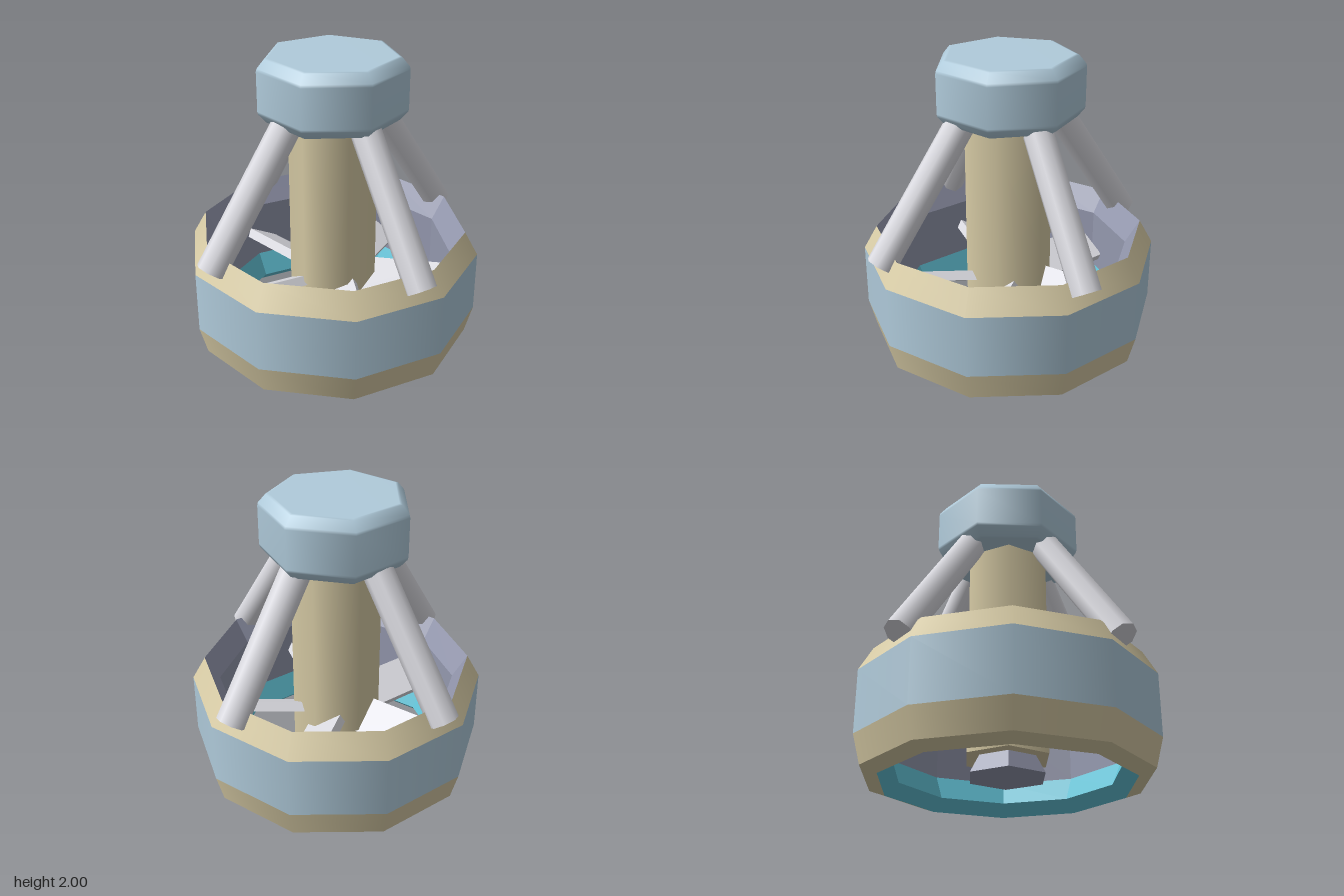
import * as THREE from 'three';

const material = (name, color) => {
  const m = new THREE.MeshStandardMaterial({ color });
  m.name = name;
  return m;
};

export function createModel() {
  const blue = material('pale blue', 0xb0cbdb);
  const tan = material('sand', 0xd8cca6);
  const grey = material('light grey', 0xdcdce2);
  const slate = material('slate', 0x9498ae);
  const teal = material('teal', 0x63c4d8);

  const model = new THREE.Group();
  model.name = 'thruster';

  const add = (name, geometry, mat, parent = model) => {
    const mesh = new THREE.Mesh(geometry, mat);
    mesh.name = name;
    parent.add(mesh);
    return mesh;
  };

  // Turned surface with a corner on +x; a rising profile faces outward
  const turned = (name, sides, profile, mat, flat = false) => {
    const points = profile.map(([r, y]) => new THREE.Vector2(r, y));
    let geometry = new THREE.LatheGeometry(points, sides, Math.PI / 2);
    if (flat) {
      geometry = geometry.toNonIndexed();
      geometry.computeVertexNormals();
    }
    return add(name, geometry, mat);
  };

  // Ten-sided ring, outer bands
  turned('ringBottomRim', 10, [[0.83, 0], [0.94, 0.04]], tan);
  turned('ringLowerBand', 10, [[0.94, 0.04], [0.99, 0.23]], tan);
  turned('ringMiddleBand', 10, [[0.99, 0.23], [0.99, 0.65]], blue);
  turned('ringUpperBand', 10, [[0.99, 0.65], [0.9, 0.81]], tan);

  // Ring lining
  turned('ringInlet', 10, [[0.9, 0.81], [0.805, 0.65]], slate, true);
  turned('ringInnerWall', 10, [[0.805, 0.65], [0.805, 0.24]], slate, true);
  turned('ringThroat', 10, [[0.805, 0.24], [0.735, 0.08]], teal, true);
  turned('ringOutlet', 10, [[0.735, 0.08], [0.83, 0]], teal, true);

  // Central shaft and the hub under it
  turned('shaft', 6, [[0.297, 0.17], [0.297, 1.62]], tan);
  turned('shaftBase', 6, [[0, 0.17], [0.297, 0.17]], tan);
  turned('hub', 6, [[0, 0.05], [0.27, 0.05], [0.2, 0.18]], slate, true);

  // Seven-sided head with softened edges
  turned('head', 7, [
    [0, 1.58], [0.42, 1.58], [0.44, 1.585], [0.487, 1.64], [0.492, 1.66],
    [0.492, 1.92], [0.487, 1.94], [0.44, 1.995], [0.42, 2], [0, 2],
  ], blue);

  // Four slanted struts
  const up = new THREE.Vector3(0, 1, 0);
  for (const sx of [-1, 1]) {
    for (const sz of [-1, 1]) {
      const low = new THREE.Vector3(0.665 * sx, 0.735, 0.665 * sz);
      const high = new THREE.Vector3(0.255 * sx, 1.58, 0.255 * sz);
      const axis = high.clone().sub(low);
      const strut = add('strut', new THREE.CylinderGeometry(0.1, 0.1, axis.length(), 8), grey);
      strut.position.copy(low).add(high).multiplyScalar(0.5);
      strut.quaternion.setFromUnitVectors(up, axis.normalize());
    }
  }

  // Five pitched fan blades
  const fan = new THREE.Group();
  fan.name = 'fan';
  fan.position.y = 0.41;
  model.add(fan);
  for (let i = 0; i < 5; i++) {
    const arm = new THREE.Group();
    arm.name = 'bladeArm';
    arm.rotation.y = (i * Math.PI * 2) / 5;
    fan.add(arm);
    const blade = add('blade', new THREE.BoxGeometry(0.62, 0.065, 0.27), grey, arm);
    blade.position.x = 0.46;
    blade.rotation.x = Math.PI / 6;
  }

  return model;
}
